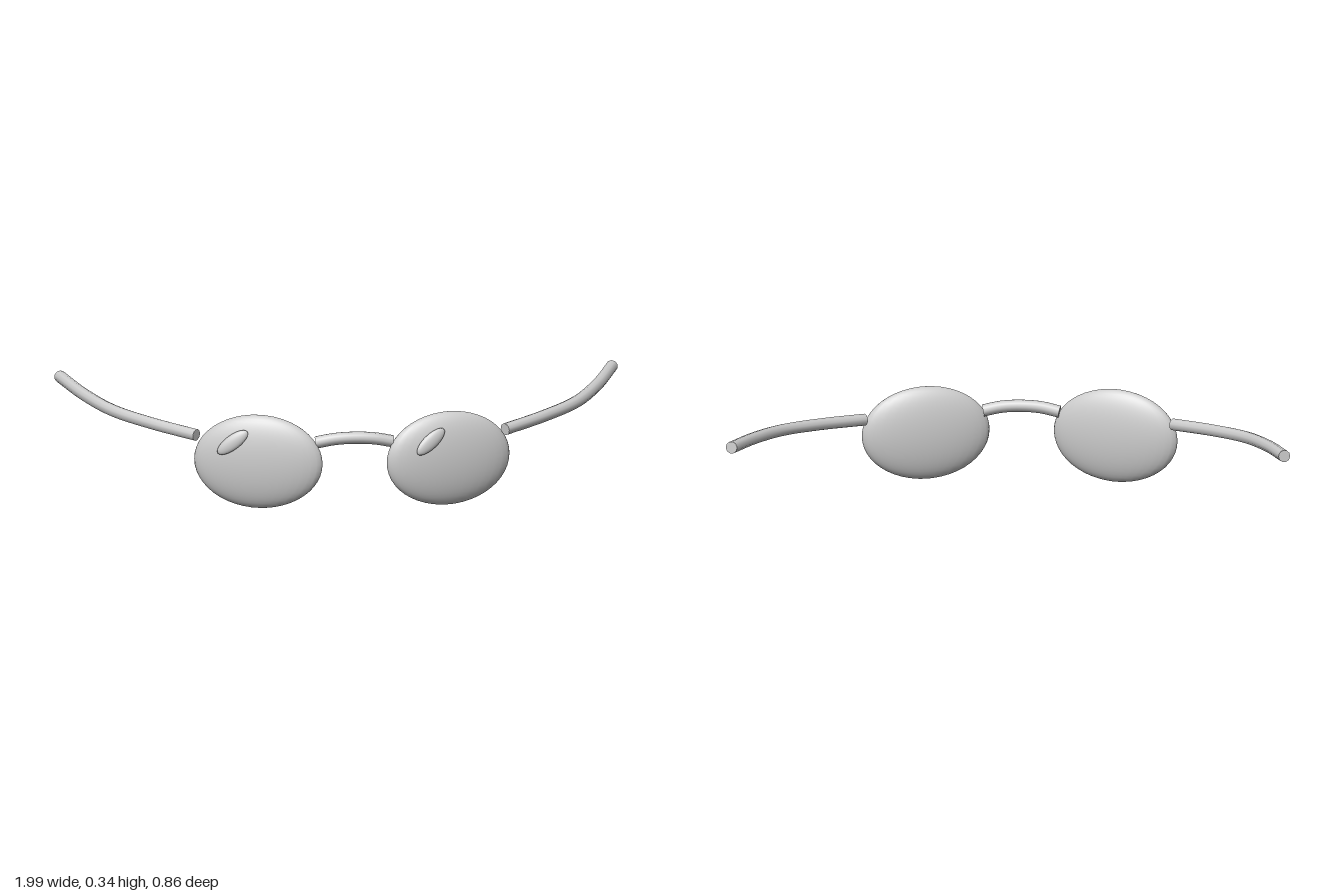
import * as THREE from 'three';

const grey = new THREE.MeshStandardMaterial({ color: 0xcccccc });
grey.name = 'plain grey';

const TILT = 0.27; // how far each lens wraps around the face
const WIRE = 0.0215;

function ellipsoid(name, a, b, c, wide, high) {
  const geometry = new THREE.SphereGeometry(1, wide, high);
  geometry.scale(a, b, c);
  const mesh = new THREE.Mesh(geometry, grey);
  mesh.name = name;
  return mesh;
}

// Round wire along a smooth curve, closed by a disc at each end
function wire(name, points, segments) {
  const group = new THREE.Group();
  group.name = name;
  const curve = new THREE.CatmullRomCurve3(points.map((p) => new THREE.Vector3(...p)));
  const tube = new THREE.Mesh(new THREE.TubeGeometry(curve, segments, WIRE, 10), grey);
  tube.name = name + 'Tube';
  group.add(tube);
  for (const t of [0, 1]) {
    const cap = new THREE.Mesh(new THREE.CircleGeometry(WIRE, 10), grey);
    const outward = curve.getTangent(t).multiplyScalar(t ? 1 : -1);
    cap.position.copy(curve.getPoint(t));
    cap.quaternion.setFromUnitVectors(new THREE.Vector3(0, 0, 1), outward);
    cap.name = name + 'End';
    group.add(cap);
  }
  return group;
}

export function createModel() {
  const model = new THREE.Group();
  model.name = 'spectacles';

  for (const [side, s] of [['left', 1], ['right', -1]]) {
    // Lens with a raised glint, both glints leaning the same way
    const lensGroup = new THREE.Group();
    lensGroup.name = side + 'LensGroup';
    lensGroup.position.set(s * 0.335, 0.172, 0.335);
    lensGroup.rotation.y = s * TILT;
    lensGroup.add(ellipsoid(side + 'Lens', 0.23, 0.168, 0.053, 32, 24));

    const glint = ellipsoid(side + 'Glint', 0.066, 0.026, 0.013, 20, 12);
    glint.position.set(-0.083, 0.076, 0.05);
    glint.rotation.set(-0.15, 0, 0.66);
    lensGroup.add(glint);
    model.add(lensGroup);

    // Temple arm sweeping back and slightly up
    model.add(wire(side + 'Arm', [
      [s * 0.545, 0.245, 0.225],
      [s * 0.69, 0.26, 0.1],
      [s * 0.815, 0.275, -0.04],
      [s * 0.905, 0.293, -0.22],
      [s * 0.975, 0.312, -0.425],
    ], 24));
  }

  // Arched bridge between the lenses
  model.add(wire('bridge', [
    [-0.135, 0.245, 0.373],
    [-0.07, 0.258, 0.38],
    [0, 0.262, 0.382],
    [0.07, 0.258, 0.38],
    [0.135, 0.245, 0.373],
  ], 16));

  return model;
}
